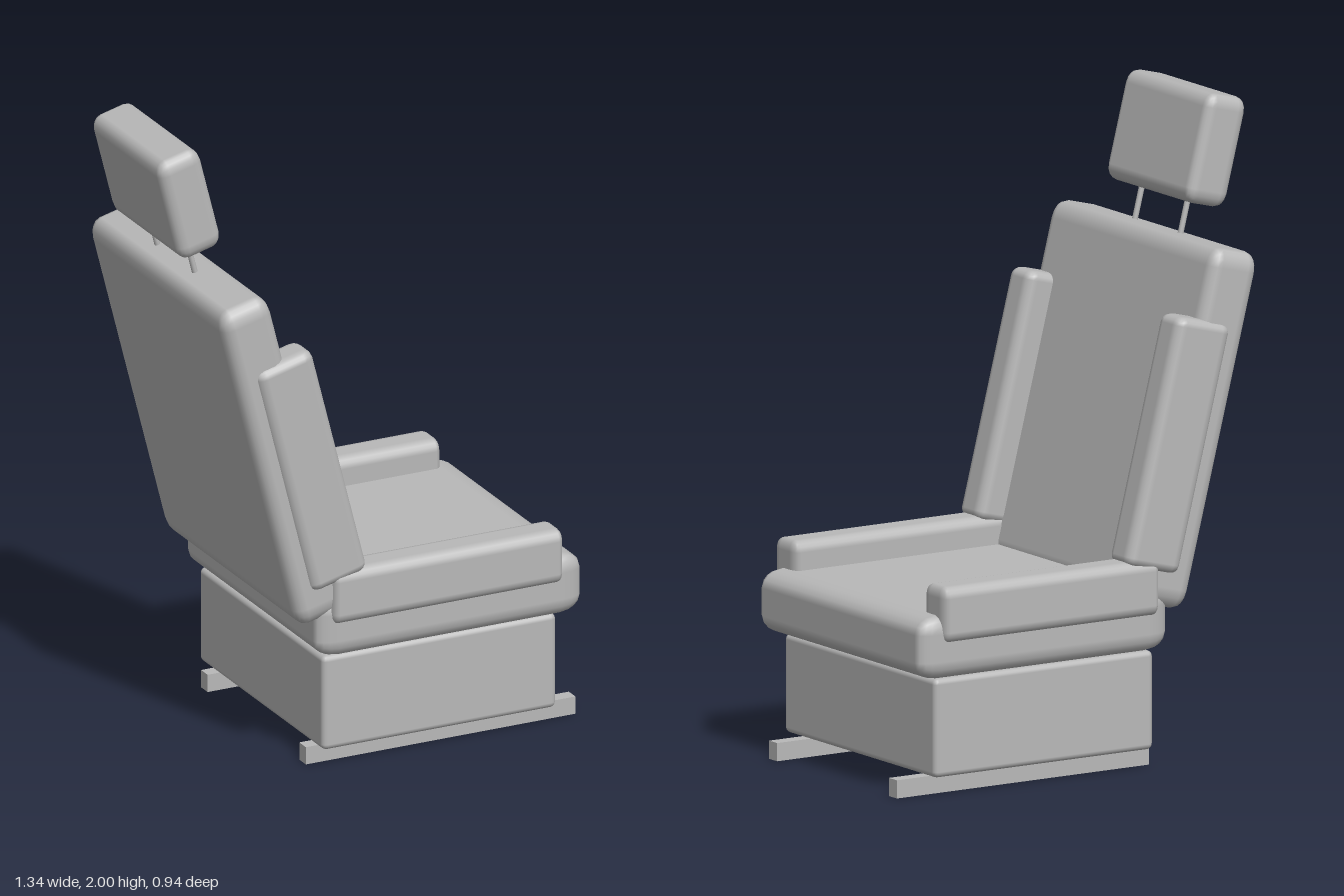
import * as THREE from 'three';
import { RoundedBoxGeometry } from 'three/addons/geometries/RoundedBoxGeometry.js';

const LEAN = 0.25; // backward tilt of the backrest parts

export function createModel() {
  const seat = new THREE.Group();
  seat.name = 'vehicleSeat';
  const grey = new THREE.MeshStandardMaterial({ color: 0xb8b8b8 });
  grey.name = 'seatGrey';

  function add(name, geometry, position, lean = 0) {
    const mesh = new THREE.Mesh(geometry, grey);
    mesh.name = name;
    mesh.position.set(...position);
    mesh.rotation.z = lean;
    seat.add(mesh);
    return mesh;
  }

  // Padded block with its own edge radius along each axis
  function pad(size, radii) {
    const [w, h, d] = size.map((s, i) => s / radii[i]);
    return new RoundedBoxGeometry(w, h, d, 2, 1).scale(...radii);
  }

  // Pedestal and cushion
  add('base', pad([0.79, 0.305, 0.83], [0.018, 0.018, 0.018]), [0.18, 0.213, 0]);
  add('cushion', pad([0.9, 0.195, 0.91], [0.075, 0.055, 0.04]), [0.2, 0.468, 0]);

  // Reclined backrest and headrest
  add('backrest', pad([0.172, 1.1, 0.91], [0.04, 0.06, 0.04]), [-0.362, 1.035, 0], LEAN);
  add('headrest', pad([0.148, 0.34, 0.47], [0.035, 0.045, 0.03]), [-0.568, 1.83, 0], LEAN);

  // Mirrored pairs
  for (const [side, s] of [['left', -1], ['right', 1]]) {
    add(side + 'Rail', new THREE.BoxGeometry(0.91, 0.056, 0.044), [0.215, 0.028, s * 0.328]);
    add(side + 'CushionBolster', pad([0.78, 0.175, 0.122], [0.02, 0.035, 0.035]), [0.185, 0.568, s * 0.41]);
    add(side + 'BackBolster', pad([0.2, 0.775, 0.122], [0.035, 0.03, 0.035]), [-0.275, 0.995, s * 0.41], LEAN);
    add(side + 'HeadrestPost', new THREE.CylinderGeometry(0.009, 0.009, 0.3, 12), [-0.515, 1.62, s * 0.125], LEAN);
  }
  return seat;
}
